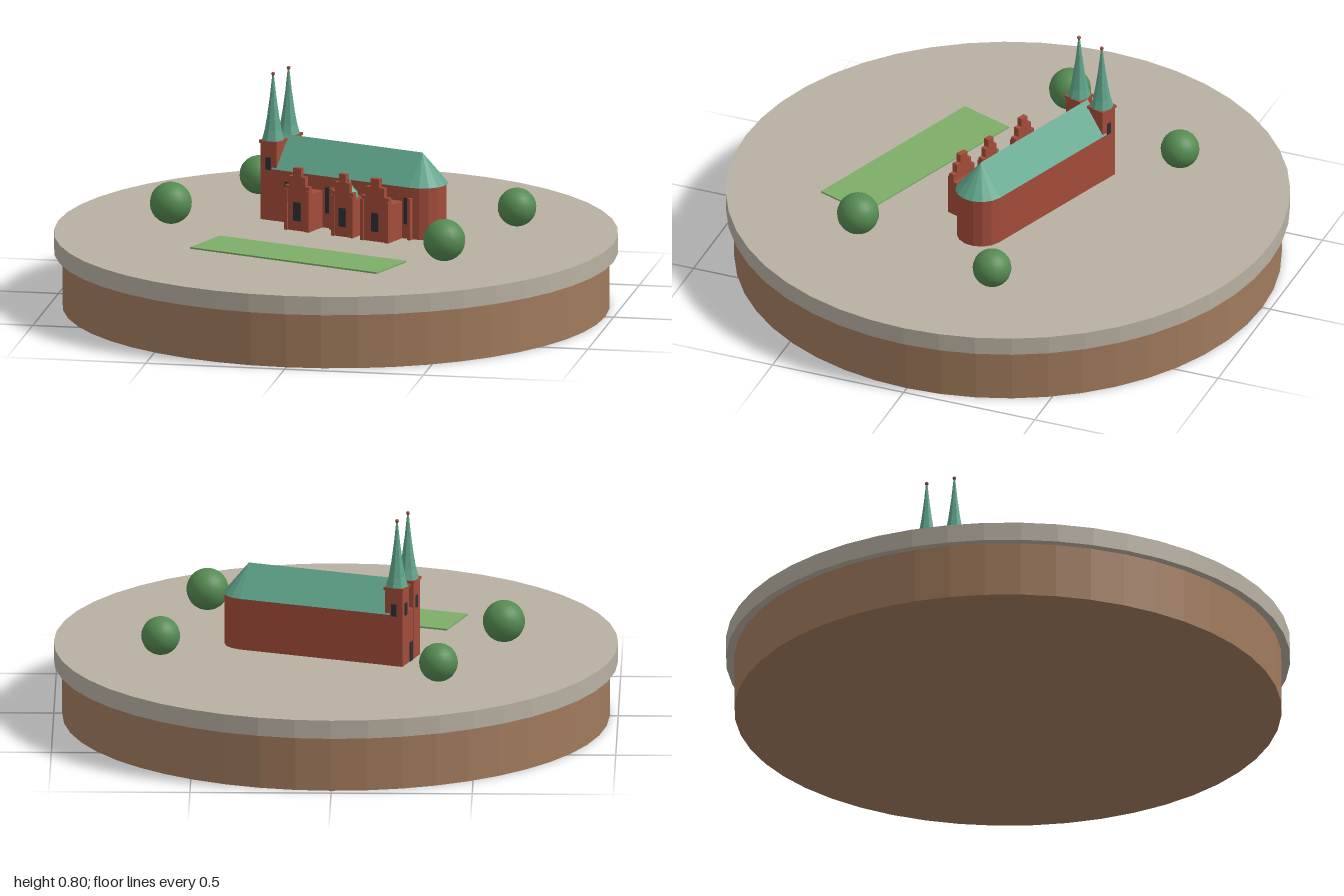
import * as THREE from 'three';

const paint = (name, color, flat = true) => {
  const m = new THREE.MeshStandardMaterial({ color, flatShading: flat });
  m.name = name;
  return m;
};

export function createModel() {
  const model = new THREE.Group();
  const earth = paint('earth', 0xa07a5c);
  const paving = paint('paving', 0xb8b0a2);
  const grass = paint('grass', 0x7fae68);
  const leaf = paint('leaf', 0x558a52, false);
  const brick = paint('brick', 0xa34c3a);
  const copper = paint('copper', 0x5fa58b);
  const glass = paint('glass', 0x2c3038);

  const add = (parent, name, geo, mat, x = 0, y = 0, z = 0) => {
    const mesh = new THREE.Mesh(geo, mat);
    mesh.name = name;
    mesh.position.set(x, y, z);
    parent.add(mesh);
    return mesh;
  };
  // box standing on height y
  const block = (parent, name, mat, w, h, d, x, y, z) =>
    add(parent, name, new THREE.BoxGeometry(w, h, d), mat, x, y + h / 2, z);

  // round base
  const ground = 0.267;
  add(model, 'baseDrum', new THREE.CylinderGeometry(0.97, 0.97, 0.2, 48), earth, 0, 0.1, 0);
  add(model, 'pavedDisc', new THREE.CylinderGeometry(1, 1, 0.067, 48), paving, 0, 0.2335, 0);

  // lawn
  const turn = -20 * Math.PI / 180;
  const lawn = block(model, 'lawn', grass, 0.767, 0.006, 0.208, -0.065, ground, 0.381);
  lawn.rotation.y = turn;

  // trees
  for (const [x, z, r] of [[-0.595, 0, 0.075], [-0.372, -0.508, 0.069], [0.618, -0.185, 0.069], [0.462, 0.388, 0.075]])
    add(model, 'tree', new THREE.SphereGeometry(r, 20, 14), leaf, x, ground + r + 0.006, z);

  // church, with its length along its own x
  const church = new THREE.Group();
  church.name = 'church';
  church.rotation.y = turn;
  model.add(church);
  const mid = -0.124, half = 0.086, east = 0.283, west = -0.285;
  const eaves = 0.455, ridge = 0.565, south = mid + half;

  // nave and rounded apse
  block(church, 'nave', brick, east - west, eaves - ground, half * 2, (east + west) / 2, ground, mid);
  add(church, 'apse', new THREE.CylinderGeometry(half, half, eaves - ground, 8, 1, false, 0, Math.PI),
    brick, east, (eaves + ground) / 2, mid);

  // roof: a prism ending in a half cone
  const over = half + 0.005;
  const section = new THREE.Shape([
    new THREE.Vector2(-over, 0), new THREE.Vector2(over, 0), new THREE.Vector2(0, ridge - eaves)]);
  const roofGeo = new THREE.ExtrudeGeometry(section, { depth: east - west, bevelEnabled: false });
  roofGeo.rotateY(Math.PI / 2);
  add(church, 'naveRoof', roofGeo, copper, west, eaves, mid);
  add(church, 'apseRoof', new THREE.ConeGeometry(over, ridge - eaves, 8, 1, false, 0, Math.PI),
    copper, east, (eaves + ridge) / 2, mid);

  // twin west towers with flared spires
  const towerX = -0.3, towerW = 0.066, towerTop = 0.555;
  const spire = [[0.041, 0], [0.031, 0.035], [0.022, 0.085], [0.012, 0.155], [0.003, 0.236]]
    .map(([r, y]) => new THREE.Vector2(r, y));
  for (const side of [-1, 1]) {
    const z = mid + side * 0.054;
    block(church, 'tower', brick, towerW, towerTop - ground, towerW, towerX, ground, z);
    block(church, 'towerCornice', brick, 0.074, 0.01, 0.074, towerX, towerTop - 0.01, z);
    add(church, 'spire', new THREE.LatheGeometry(spire, 8), copper, towerX, towerTop, z);
    add(church, 'spireFinial', new THREE.SphereGeometry(0.007, 8, 6), brick, towerX, towerTop + 0.238, z);
    block(church, 'towerWindow', glass, 0.004, 0.045, 0.02, towerX - towerW / 2, 0.45, z);
    block(church, 'towerSideWindow', glass, 0.02, 0.045, 0.004, towerX, 0.45, z + side * towerW / 2);
  }

  // west porch between the towers
  block(church, 'porch', brick, 0.06, 0.19, 0.044, towerX - 0.002, ground, mid);
  block(church, 'porchDoor', glass, 0.004, 0.07, 0.026, towerX - 0.033, ground, mid);

  // south chapels with stepped gables
  for (const [x, w, front] of [[-0.128, 0.1, 0.054], [0.056, 0.088, 0.05], [0.193, 0.114, 0.056]]) {
    const chapel = new THREE.Group();
    chapel.name = 'chapel';
    chapel.position.x = x;
    church.add(chapel);
    const depth = front - south;
    block(chapel, 'chapelBody', brick, w, 0.135, depth, 0, ground, south + depth / 2);
    for (const [k, top] of [[1, 0.43], [0.66, 0.464], [0.32, 0.495]])
      block(chapel, 'gableStep', brick, w * k, top - ground - 0.1, 0.02, 0, ground + 0.1, front - 0.009);
    for (const side of [-1, 1])
      block(chapel, 'gablePier', brick, 0.012, 0.15, 0.012, side * (w / 2 - 0.006), ground, front);
    block(chapel, 'chapelWindow', glass, 0.03, 0.068, 0.004, 0, 0.303, front + 0.001);
  }

  // small turret with a bulb roof beside the nave
  const bulb = [[0.021, 0], [0.031, 0.012], [0.028, 0.028], [0.014, 0.042], [0.006, 0.056], [0.001, 0.076]]
    .map(([r, y]) => new THREE.Vector2(r, y));
  add(church, 'turret', new THREE.CylinderGeometry(0.021, 0.021, 0.125, 8), brick, 0.056, 0.3325, -0.002);
  add(church, 'turretRoof', new THREE.LatheGeometry(bulb, 8), copper, 0.056, 0.392, -0.002);

  // nave windows and buttresses on the south side
  for (const x of [-0.222, -0.055, 0.118, 0.267])
    block(church, 'naveWindow', glass, 0.022, 0.095, 0.004, x, 0.32, south + 0.001);
  for (const x of [-0.195, -0.035, 0.004, 0.132, 0.286])
    block(church, 'buttress', brick, 0.012, 0.15, 0.02, x, ground, south + 0.008);

  return model;
}
